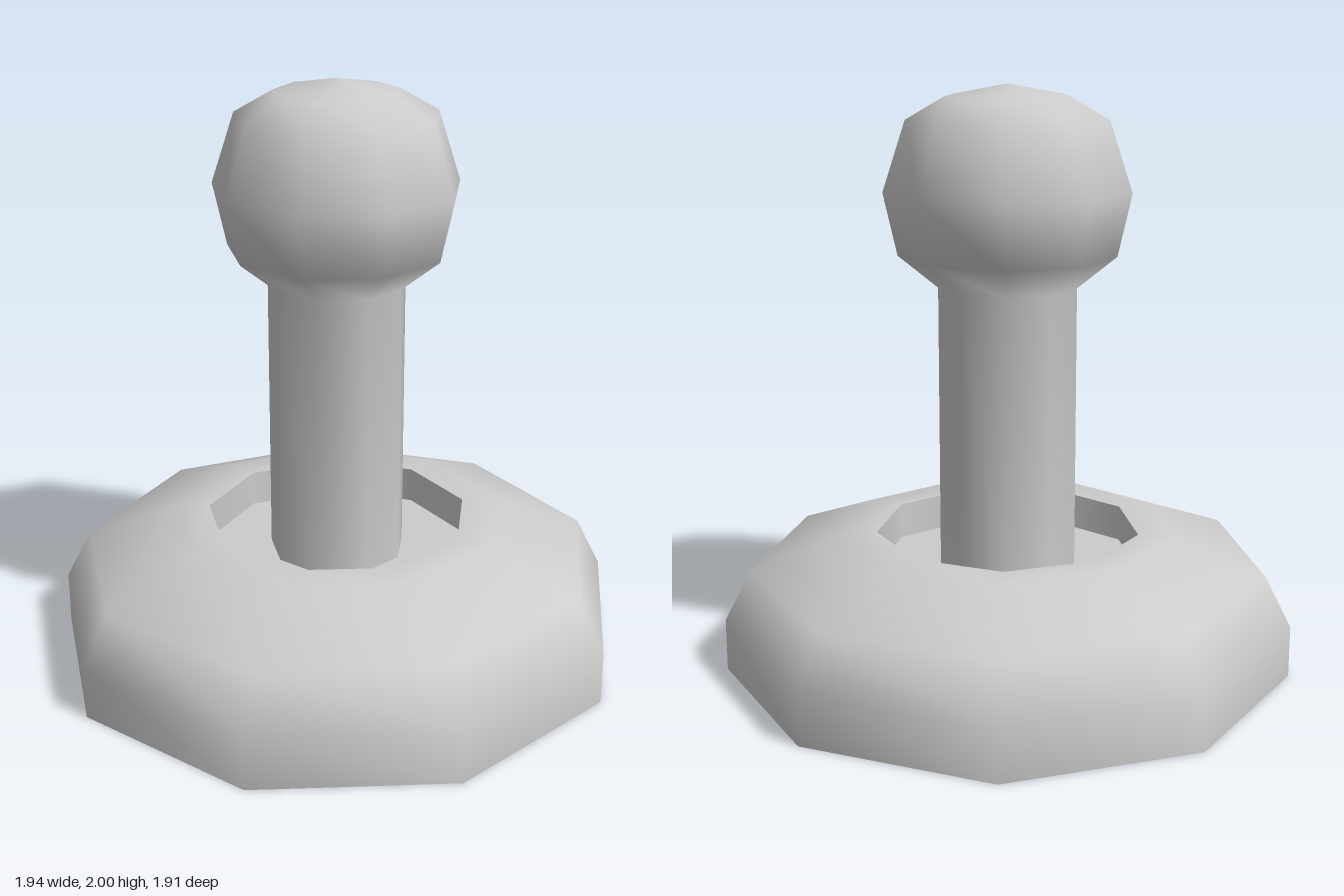
import * as THREE from 'three';

const SIDES = 9;

// Nine-sided turned surface with a corner at the back; every ring is centred on its own depth.
function turned(name, profile, material) {
  const points = profile.map(([r, y]) => new THREE.Vector2(r, y));
  const geometry = new THREE.LatheGeometry(points, SIDES, Math.PI);
  const pos = geometry.attributes.position;
  const shift = (1 - Math.cos(Math.PI / SIDES)) / 2;
  for (let i = 0; i < pos.count; i++) {
    const r = Math.hypot(pos.getX(i), pos.getZ(i));
    pos.setZ(i, pos.getZ(i) + r * shift);
  }
  const mesh = new THREE.Mesh(geometry, material);
  mesh.name = name;
  return mesh;
}

export function createModel() {
  const grey = new THREE.MeshStandardMaterial({ color: 0xcccccc, side: THREE.DoubleSide });
  grey.name = 'lightGrey';

  const group = new THREE.Group();
  group.name = 'knobOnBase';

  group.add(
    // Hollow rounded base, open underneath
    turned('baseShell', [[0.985, 0], [0.985, 0.18], [0.895, 0.355], [0.573, 0.48], [0.456, 0.48]], grey),
    // Sunken socket around the stem
    turned('socketWall', [[0.456, 0.48], [0.456, 0.355]], grey),
    turned('socketFloor', [[0.456, 0.355], [0.235, 0.355]], grey),
    // Hollow stem flowing into the ball
    turned('stemAndBall', [
      [0.235, 0.355], [0.235, 1.33], [0.369, 1.44], [0.416, 1.65],
      [0.339, 1.885], [0.209, 1.96], [0, 2],
    ], grey),
  );
  return group;
}
